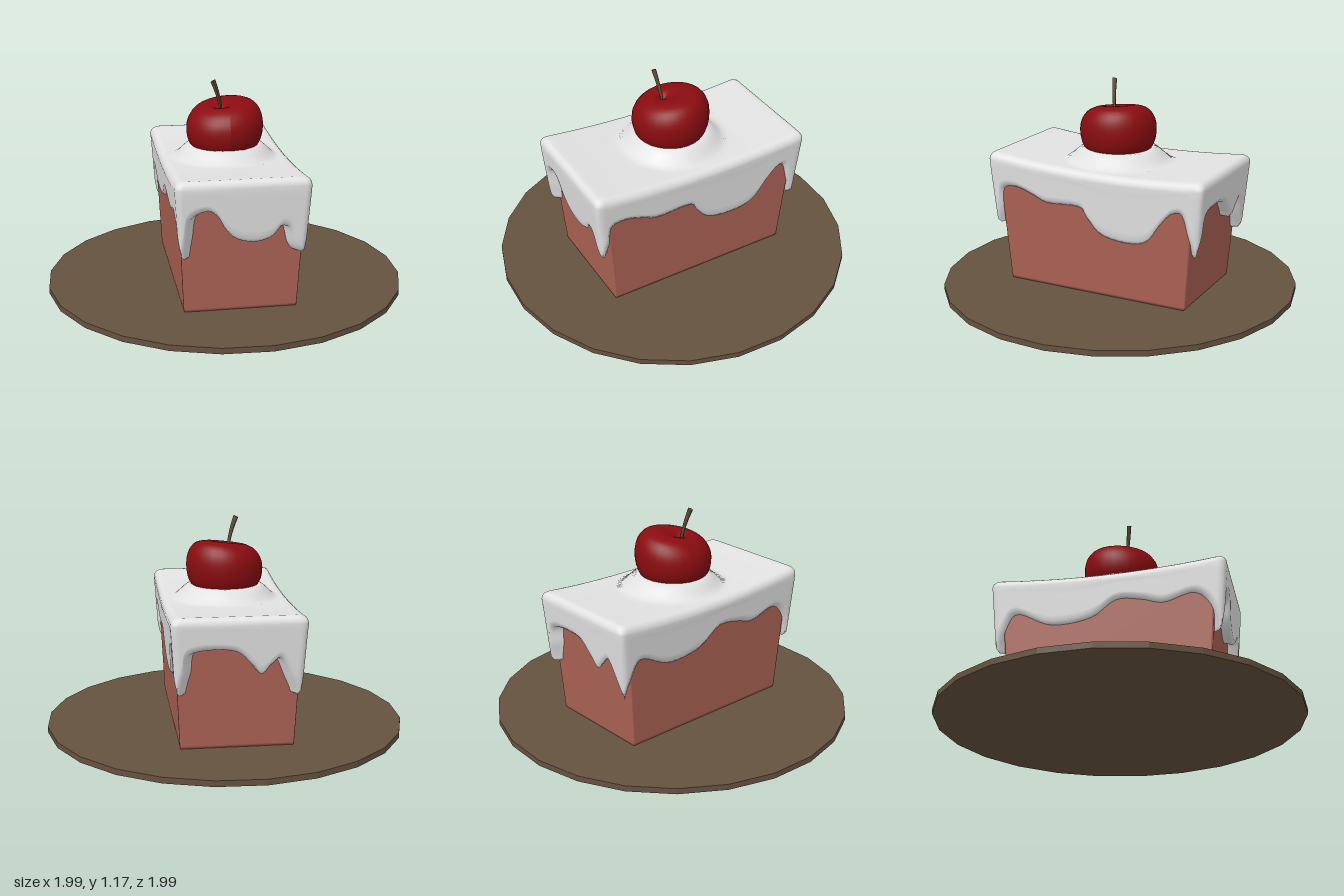
import * as THREE from 'three';
import { RoundedBoxGeometry } from 'three/addons/geometries/RoundedBoxGeometry.js';

const mat = (name, color) => new THREE.MeshStandardMaterial({ name, color });

// Moves every vertex by a rule and refreshes the normals
function warp(geo, rule) {
  const pos = geo.attributes.position, v = new THREE.Vector3();
  for (let i = 0; i < pos.count; i++) {
    rule(v.fromBufferAttribute(pos, i));
    pos.setXYZ(i, v.x, v.y, v.z);
  }
  geo.computeVertexNormals();
  return geo;
}

// Lower edge of the icing on each side: [position along side -1..1, height]
const drips = {
  left: [[-1, .36], [-.94, .45], [-.9, .57], [-.76, .59], [-.6, .56], [-.45, .525], [-.13, .53], [-.05, .47],
    [.08, .39], [.32, .365], [.52, .39], [.65, .5], [.75, .57], [.85, .57], [.92, .45], [1, .34]],
  back: [[-1, .34], [-.88, .45], [-.75, .57], [-.1, .58], [.2, .5], [.35, .45], [.5, .5], [.65, .53], [.85, .42], [1, .33]],
  right: [[-1, .33], [-.92, .45], [-.8, .54], [-.5, .46], [-.15, .48], [.08, .57], [.3, .56], [.5, .53],
    [.75, .57], [.9, .5], [1, .35]],
  front: [[-1, .35], [-.92, .45], [-.84, .57], [-.6, .615], [-.42, .59], [-.28, .51], [-.1, .455], [.2, .435],
    [.45, .46], [.6, .515], [.74, .5], [.84, .41], [.93, .37], [1, .36]],
};
const sideToXZ = {
  left: t => [1, -t], back: t => [-t, -1], right: t => [-1, t], front: t => [t, 1],
};

// Top of the icing: raised towards both ends, with a soft mound under the cherry
function topY(x, z) {
  const mound = 1 - THREE.MathUtils.smoothstep(Math.hypot(x, z), .19, .3);
  return .73 + .09 * z * z + .015 * z + .072 * mound;
}

// Point on a rectangle with rounded corners
function onRect(u, w, hx, hz, r = .035) {
  const x = u * hx, z = w * hz;
  const cx = THREE.MathUtils.clamp(x, r - hx, hx - r), cz = THREE.MathUtils.clamp(z, r - hz, hz - r);
  const k = r / (Math.hypot(x - cx, z - cz) || r);
  return [cx + (x - cx) * k, cz + (z - cz) * k];
}

function icingGeometry() {
  const perSide = 52, columns = [];
  for (const side in drips) {
    const curve = new THREE.SplineCurve(drips[side].map(p => new THREE.Vector2(...p)));
    for (let k = 0; k < perSide; k++) {
      const p = curve.getPoint(k / perSide);
      columns.push([...sideToXZ[side](THREE.MathUtils.clamp(p.x, -1, 1)), p.y]);
    }
  }
  const rows = [];
  // top, growing outwards
  for (let i = 0; i <= 22; i++) {
    rows.push(([u, w]) => {
      const [x, z] = onRect(u, w, .315, .61), s = i / 22;
      return [x * s, topY(x * s, z * s), z * s];
    });
  }
  // rounded shoulder
  for (const a of [.4, .8, 1.2, Math.PI / 2]) {
    rows.push(([u, w]) => {
      const out = .038 * Math.sin(a);
      const [x, z] = onRect(u, w, .315 + out, .61 + out);
      return [x, topY(x, z) - .045 * (1 - Math.cos(a)), z];
    });
  }
  // hanging sides, then the lip turning back into the cake
  const skirt = (v, inset, lift) => ([u, w, low]) => {
    const [ex, ez] = onRect(u, w, .353, .648);
    const y = THREE.MathUtils.lerp(topY(ex, ez) - .045, low + .02, v) + lift;
    const f = THREE.MathUtils.clamp((.72 - y) / .37, 0, 1);
    const [x, z] = onRect(u, w, .353 - .023 * f - inset, .648 - .03 * f - inset);
    return [x, y, z];
  };
  for (let i = 1; i <= 7; i++) rows.push(skirt(i / 7, 0, 0));
  rows.push(skirt(1, .013, -.02), skirt(1, .085, -.01));

  const n = columns.length, pos = [], idx = [];
  rows.forEach(row => columns.forEach(c => pos.push(...row(c))));
  for (let r = 0; r < rows.length - 1; r++) {
    for (let i = 0; i < n; i++) {
      const j = (i + 1) % n, a = r * n + i, b = a + n, c = (r + 1) * n + j, d = r * n + j;
      idx.push(a, b, c, a, c, d);
    }
  }
  const geo = new THREE.BufferGeometry();
  geo.setAttribute('position', new THREE.Float32BufferAttribute(pos, 3));
  geo.setIndex(idx);
  geo.computeVertexNormals();
  return geo;
}

function cherryGeometry() {
  const profile = new THREE.SplineCurve([[0, .76], [.12, .765], [.185, .80], [.21, .87], [.205, .95],
    [.165, 1.01], [.1, 1.03], [.04, 1.015], [0, .985]].map(p => new THREE.Vector2(...p)));
  const points = profile.getPoints(28);
  points.forEach(p => { p.x = Math.max(p.x, 0); });
  // lean the body and shift the dimple off centre
  return warp(new THREE.LatheGeometry(points, 28), v => {
    const up = (v.y - .76) / .27;
    const pull = up > .5 ? Math.max(0, 1 - Math.hypot(v.x, v.z) / .14) : 0;
    v.y += (.12 * v.x - .1 * v.z) * up;
    v.x -= .03 * pull;
    v.z += .03 * pull + .01;
  });
}

export function createModel() {
  const group = new THREE.Group();
  const add = (name, geo, material) => {
    const mesh = new THREE.Mesh(geo, material);
    mesh.name = name;
    group.add(mesh);
    return mesh;
  };

  // Plate: thin 24-sided disc
  const plate = new THREE.CylinderGeometry(1, 1, .032, 24, 1, false, THREE.MathUtils.degToRad(5));
  const plateMaterial = mat('plateBrown', 0x665240);
  plateMaterial.flatShading = true;
  add('plate', plate, plateMaterial).position.y = .016;

  // Cake: box widening upwards
  const cake = new RoundedBoxGeometry(2, .67, 2, 3, .02);
  const pos = cake.attributes.position;
  for (let i = 0; i < pos.count; i++) {
    const y = pos.getY(i) + .365, t = (y - .03) / .67;
    pos.setXYZ(i, pos.getX(i) * (.302 + .03 * t), y, pos.getZ(i) * (.538 + .052 * t));
  }
  add('cake', cake, mat('spongePink', 0xa86053));

  add('icing', icingGeometry(), mat('icingWhite', 0xe2e2e2));
  add('cherry', cherryGeometry(), mat('cherryRed', 0x8a0c10));

  // Stem: thin bent rod, thicker at its tip
  const stem = warp(new THREE.CylinderGeometry(.013, .007, .19, 8, 8), v => {
    const t = v.y / .19 + .5;
    v.y += 1.07 + v.x * .5 * t;
    v.x += -.025 - .048 * Math.pow(t, 1.6);
    v.z += .045 + .025 * t;
  });
  add('stem', stem, mat('stemBrown', 0x5e4a38));

  return group;
}
